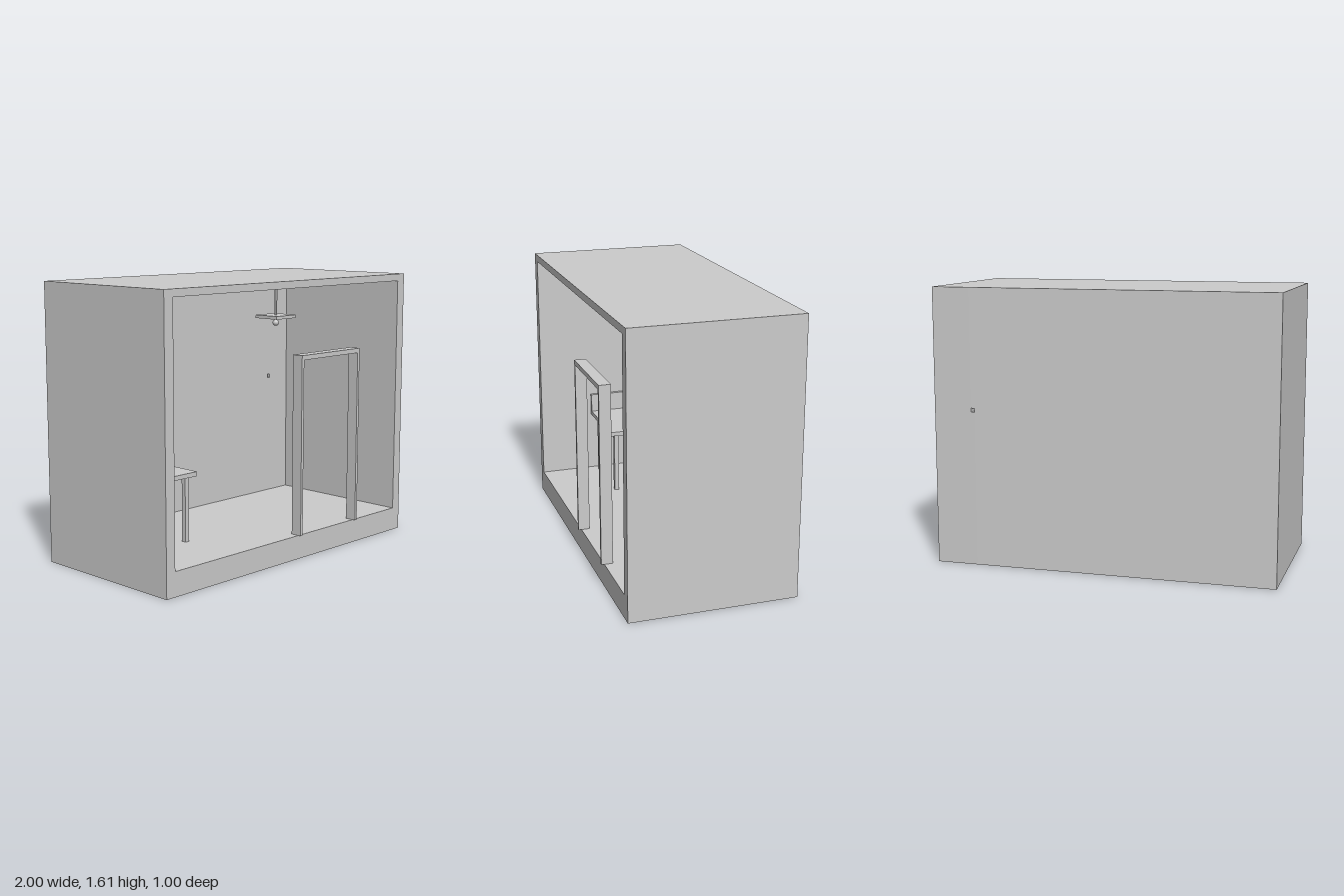
import * as THREE from 'three';

const material = new THREE.MeshStandardMaterial({ color: 0xcccccc, flatShading: true });
const smooth = new THREE.MeshStandardMaterial({ color: 0xcccccc });

// Box given by its extents along each axis
function box(parent, name, [x0, x1], [y0, y1], [z0, z1]) {
  const mesh = new THREE.Mesh(new THREE.BoxGeometry(x1 - x0, y1 - y0, z1 - z0), material);
  mesh.position.set((x0 + x1) / 2, (y0 + y1) / 2, (z0 + z1) / 2);
  mesh.name = name;
  parent.add(mesh);
  return mesh;
}

function part(parent, name) {
  const group = new THREE.Group();
  group.name = name;
  parent.add(group);
  return group;
}

export function createModel() {
  const model = new THREE.Group();
  model.name = 'room';
  const floorY = 0.14, ceilingY = 1.57, topY = 1.612;
  const backZ = -0.43, frontZ = 0.48;

  // Room shell, open at the front
  const shell = part(model, 'roomShell');
  box(shell, 'floor', [-1, 1], [0, floorY], [backZ, frontZ]);
  box(shell, 'ceiling', [-1, 1], [ceilingY, topY], [backZ, frontZ]);
  box(shell, 'rightWall', [-1, -0.938], [floorY, ceilingY], [backZ, frontZ]);
  box(shell, 'leftWall', [0.938, 1], [floorY, ceilingY], [backZ, frontZ]);

  // Back wall in two panels, joined by a strip with a small peephole
  const back = part(model, 'backWall');
  const depth = [-0.5, backZ];
  box(back, 'widePanel', [-1, 0.754], [0, topY], depth);
  box(back, 'narrowPanel', [0.775, 1], [0, topY], depth);
  box(back, 'lowerStrip', [0.754, 0.775], [0, 0.9], depth);
  box(back, 'upperStrip', [0.754, 0.775], [0.923, topY], depth);

  // Bed with a headboard against the right wall
  const bed = part(model, 'bed');
  box(bed, 'bedTop', [-0.93, -0.455], [0.52, 0.546], [-0.34, 0.148]);
  box(bed, 'headboard', [-0.93, -0.908], [0.546, 0.66], [-0.34, 0.148]);
  for (const x of [-0.88, -0.503])
    for (const z of [-0.29, 0.1])
      box(bed, 'bedLeg', [x - 0.014, x + 0.014], [floorY, 0.52], [z - 0.014, z + 0.014]);

  // Door frame standing in the open front
  const frame = part(model, 'doorFrame');
  const frameZ = [0.43, 0.498];
  box(frame, 'header', [0.034, 0.552], [1.163, 1.19], frameZ);
  for (const x of [0.034, 0.534])
    box(frame, 'post', [x, x + 0.018], [floorY, 1.163], frameZ);

  // Hanging lamp
  const lamp = part(model, 'ceilingLamp');
  lamp.position.set(0.292, 0, 0.06);
  box(lamp, 'mount', [-0.04, 0.04], [1.54, ceilingY], [-0.04, 0.04]);
  box(lamp, 'rod', [-0.006, 0.006], [1.377, 1.54], [-0.006, 0.006]);
  box(lamp, 'shade', [-0.085, 0.085], [1.358, 1.377], [-0.085, 0.085]);
  const bulb = new THREE.Mesh(new THREE.SphereGeometry(0.019, 24, 16), smooth);
  bulb.name = 'bulb';
  bulb.position.y = 1.33;
  lamp.add(bulb);

  return model;
}
